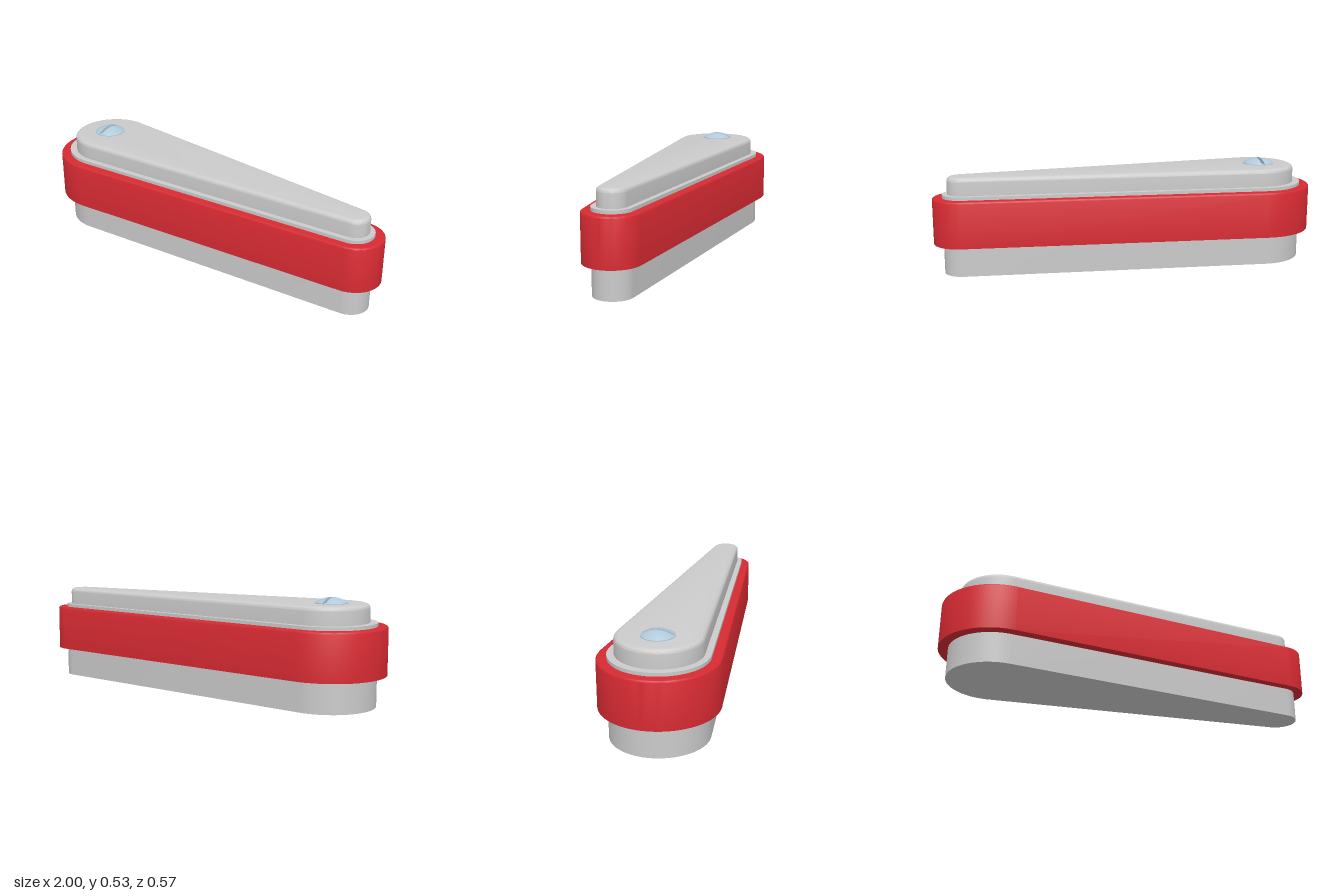
import * as THREE from 'three';
import { mergeGeometries, toCreasedNormals } from 'three/addons/utils/BufferGeometryUtils.js';

const steel = new THREE.MeshStandardMaterial({ name: 'light grey', color: 0xcbcbcb });
const red = new THREE.MeshStandardMaterial({ name: 'red', color: 0xd62a32 });
const screwMetal = new THREE.MeshStandardMaterial({ name: 'blue grey metal', color: 0xb2c9da, side: THREE.DoubleSide });

// Teardrop outline: a large arc and a small arc joined by tangent lines, as [x, z]
function outline({ bigX, bigR, tipX, tipR }, inset) {
  const tilt = Math.acos((bigR - tipR) / (tipX - bigX));
  const points = [];
  const arc = (cx, r, from, to, n) => {
    for (let i = 0; i <= n; i++) {
      const a = from + (to - from) * i / n;
      points.push([cx + r * Math.cos(a), r * Math.sin(a)]);
    }
  };
  arc(tipX, tipR - inset, -tilt, tilt, 24);
  arc(bigX, bigR - inset, tilt, 2 * Math.PI - tilt, 40);
  return points;
}

// Walls through outline sections given as [inset, y], going upward on the outside
function walls(form, sections) {
  const rings = sections.map(([inset, y]) => outline(form, inset).map(([x, z]) => [x, y, z]));
  const n = rings[0].length, index = [];
  for (let s = 0; s < rings.length - 1; s++) {
    for (let i = 0; i < n; i++) {
      const a = s * n + i, b = s * n + (i + 1) % n;
      index.push(a, a + n, b, b, a + n, b + n);
    }
  }
  const geometry = new THREE.BufferGeometry();
  geometry.setAttribute('position', new THREE.Float32BufferAttribute(rings.flat(2), 3));
  geometry.setIndex(index);
  return geometry.toNonIndexed();
}

// Flat end face of a solid
function cap(form, [inset, y], up) {
  const shape = new THREE.Shape(outline(form, inset).map(([x, z]) => new THREE.Vector2(x, z)));
  const geometry = new THREE.ShapeGeometry(shape).toNonIndexed();
  geometry.deleteAttribute('uv');
  geometry.deleteAttribute('normal');
  // The outline is symmetric in z, so either rotation keeps it
  geometry.rotateX(up ? -Math.PI / 2 : Math.PI / 2).translate(0, y, 0);
  return geometry;
}

function mesh(name, geometry, material) {
  const m = new THREE.Mesh(toCreasedNormals(geometry, 0.6), material);
  m.name = name;
  return m;
}

function solid(name, form, sections, material) {
  return mesh(name, mergeGeometries([
    walls(form, sections), cap(form, sections[0], false), cap(form, sections.at(-1), true),
  ]), material);
}

// Quarter-round top edge
function roundEdge(radius, top) {
  return Array.from({ length: 7 }, (_, i) => {
    const a = i / 6 * Math.PI / 2;
    return [radius * (1 - Math.cos(a)), top - radius + radius * Math.sin(a)];
  });
}

// Surface from a function of u, v in 0..1
function surface(fn) {
  const geometry = new THREE.PlaneGeometry(1, 1, 10, 24);
  const p = geometry.attributes.position;
  for (let i = 0; i < p.count; i++) p.setXYZ(i, ...fn(p.getX(i) + 0.5, p.getY(i) + 0.5));
  return geometry.toNonIndexed();
}

// Domed screw head split by a slot along z
function createScrew() {
  const screw = new THREE.Group();
  screw.name = 'screw';
  const R = 0.08, rise = 0.027, half = 0.009, floor = 0.004;
  const ball = (R * R + rise * rise) / (2 * rise);
  const height = (x, z) => 0.003 + Math.sqrt(ball * ball - x * x - z * z) - (ball - rise);
  const reach = Math.sqrt(R * R - half * half);
  const across = (v) => -reach * Math.cos(v * Math.PI);
  for (const side of [-1, 1]) {
    const dome = surface((u, v) => {
      const z = across(v);
      const x = half + u * (Math.sqrt(Math.max(R * R - z * z, 0)) - half);
      return [side * x, height(x, z), side * z];
    });
    const slotWall = surface((u, v) => {
      const z = across(v);
      return [side * half, u * height(half, z), -side * z];
    });
    // The turned half keeps the outward winding
    screw.add(mesh('screwHeadHalf', dome, screwMetal), mesh('slotWall', slotWall, screwMetal));
  }
  const disc = new THREE.CylinderGeometry(R, R, floor, 48).translate(0, floor / 2, 0).toNonIndexed();
  screw.add(mesh('slotFloor', disc, screwMetal));
  return screw;
}

export function createModel() {
  const model = new THREE.Group();
  model.name = 'taperedHandle';

  const bandForm = { bigX: -0.713, bigR: 0.287, tipX: 0.86, tipR: 0.14 };
  const baseForm = { bigX: -0.713, bigR: 0.238, tipX: 0.853, tipR: 0.098 };
  const coverForm = { bigX: -0.705, bigR: 0.207, tipX: 0.853, tipR: 0.072 };

  // Core body, showing below the band and as a thin rim above it
  model.add(solid('base', baseForm, [[0, 0], [0, 0.408]], steel));

  // Red band around the core
  model.add(solid('band', bandForm, [[0, 0.155], ...roundEdge(0.009, 0.391)], red));

  // Raised cover with a rounded top edge
  model.add(solid('cover', coverForm, [[0, 0.4], ...roundEdge(0.022, 0.497)], steel));

  const screw = createScrew();
  screw.position.set(-0.73, 0.496, 0);
  model.add(screw);
  return model;
}
